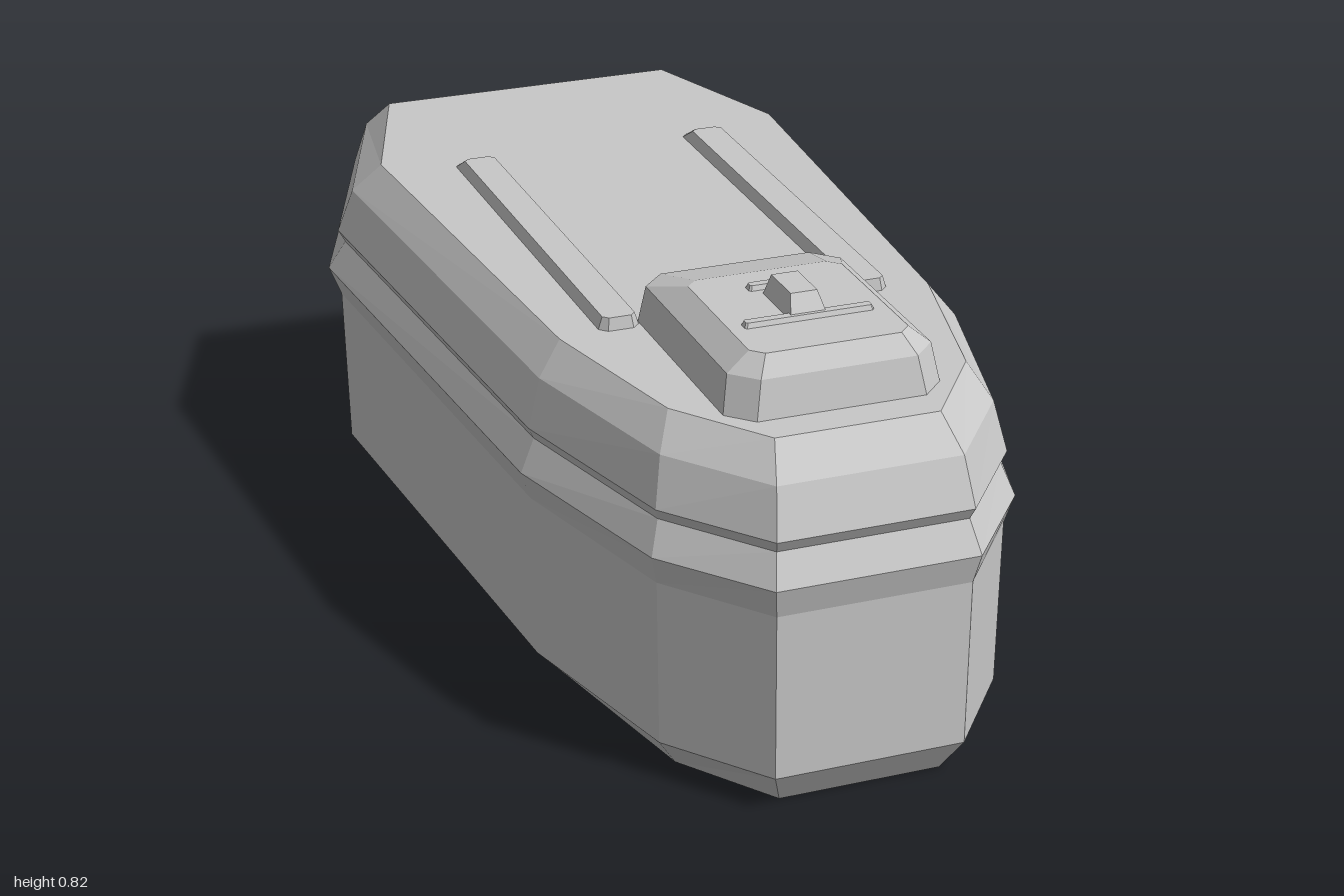
import * as THREE from 'three';

const grey = new THREE.MeshStandardMaterial({ color: 0xc8c8c8, flatShading: true });
grey.name = 'plain grey';

// Closed loft through convex rings of [x, y, z], each running front -> left -> back -> right.
function loft(name, rings) {
  const pos = [];
  const tri = (a, b, c) => pos.push(...a, ...b, ...c);
  const n = rings[0].length;
  for (let k = 0; k < rings.length - 1; k++) {
    const a = rings[k], b = rings[k + 1];
    for (let i = 0; i < n; i++) {
      const j = (i + 1) % n;
      tri(a[i], a[j], b[j]);
      tri(a[i], b[j], b[i]);
    }
  }
  const bottom = rings[0], top = rings[rings.length - 1];
  for (let i = 1; i < n - 1; i++) {
    tri(bottom[0], bottom[i + 1], bottom[i]);
    tri(top[0], top[i], top[i + 1]);
  }
  const g = new THREE.BufferGeometry();
  g.setAttribute('position', new THREE.Float32BufferAttribute(pos, 3));
  g.computeVertexNormals();
  const mesh = new THREE.Mesh(g, grey);
  mesh.name = name;
  return mesh;
}

// Mirror a half outline across x = 0.
const mirrored = (half) => [...half, ...half.slice().reverse().map(([x, z]) => [-x, z])];

// Rectangle ring, w = half width, from zBack to zFront, with cut corners.
function rectRing(y, w, zBack, zFront, cut = 0, cx = 0) {
  const half = cut
    ? [[w - cut, zFront], [w, zFront - cut], [w, zBack + cut], [w - cut, zBack]]
    : [[w, zFront], [w, zBack]];
  return mirrored(half).map(([x, z]) => [x + cx, y, z]);
}

export function createModel() {
  const model = new THREE.Group();

  // Body: wide rim outline blended towards the smaller lid outline
  const wide = mirrored([[0.19, 1], [0.343, 0.81], [0.45, 0.42], [0.522, -0.62], [0.375, -1]]);
  const small = mirrored([[0.153, 0.893], [0.28, 0.72], [0.36, 0.38], [0.42, -0.56], [0.305, -0.897]]);
  const level = (y, tx, tz = tx) => wide.map(([x, z], i) => [
    x + (small[i][0] - x) * tx, y, z + (small[i][1] - z) * tz,
  ]);
  model.add(loft('body', [
    level(0, 1, 0.6), level(0.07, 0.3, 0.18), level(0.39, 0.22, 0.15), level(0.447, 0),
  ]));
  model.add(loft('lid', [
    level(0.447, 0), level(0.507, 0.32, 0.28), level(0.53, 0.2, 0.16),
    level(0.62, 0.48, 0.45), level(0.68, 1),
  ]));

  // Long ribs on the lid
  for (const s of [-1, 1]) {
    model.add(loft(s > 0 ? 'leftRib' : 'rightRib', [
      rectRing(0.675, 0.04, -0.52, 0.38, 0.015, s * 0.243),
      rectRing(0.704, 0.031, -0.47, 0.375, 0.01, s * 0.243),
    ]));
  }

  // Raised hatch with a sloping rear
  model.add(loft('hatch', [
    rectRing(0.675, 0.203, 0.308, 0.826, 0.045),
    rectRing(0.75, 0.19, 0.318, 0.81, 0.045),
    rectRing(0.785, 0.148, 0.445, 0.782, 0.022),
  ]));

  // Handle and its two small bars
  model.add(loft('handle', [
    rectRing(0.78, 0.036, 0.54, 0.675), rectRing(0.825, 0.025, 0.555, 0.645),
  ]));
  for (const [name, w, z] of [['frontBar', 0.123, 0.665], ['rearBar', 0.056, 0.515]]) {
    model.add(loft(name, [
      rectRing(0.78, w, z - 0.014, z + 0.014, 0.004),
      rectRing(0.794, w - 0.005, z - 0.008, z + 0.008, 0.003),
    ]));
  }
  return model;
}
